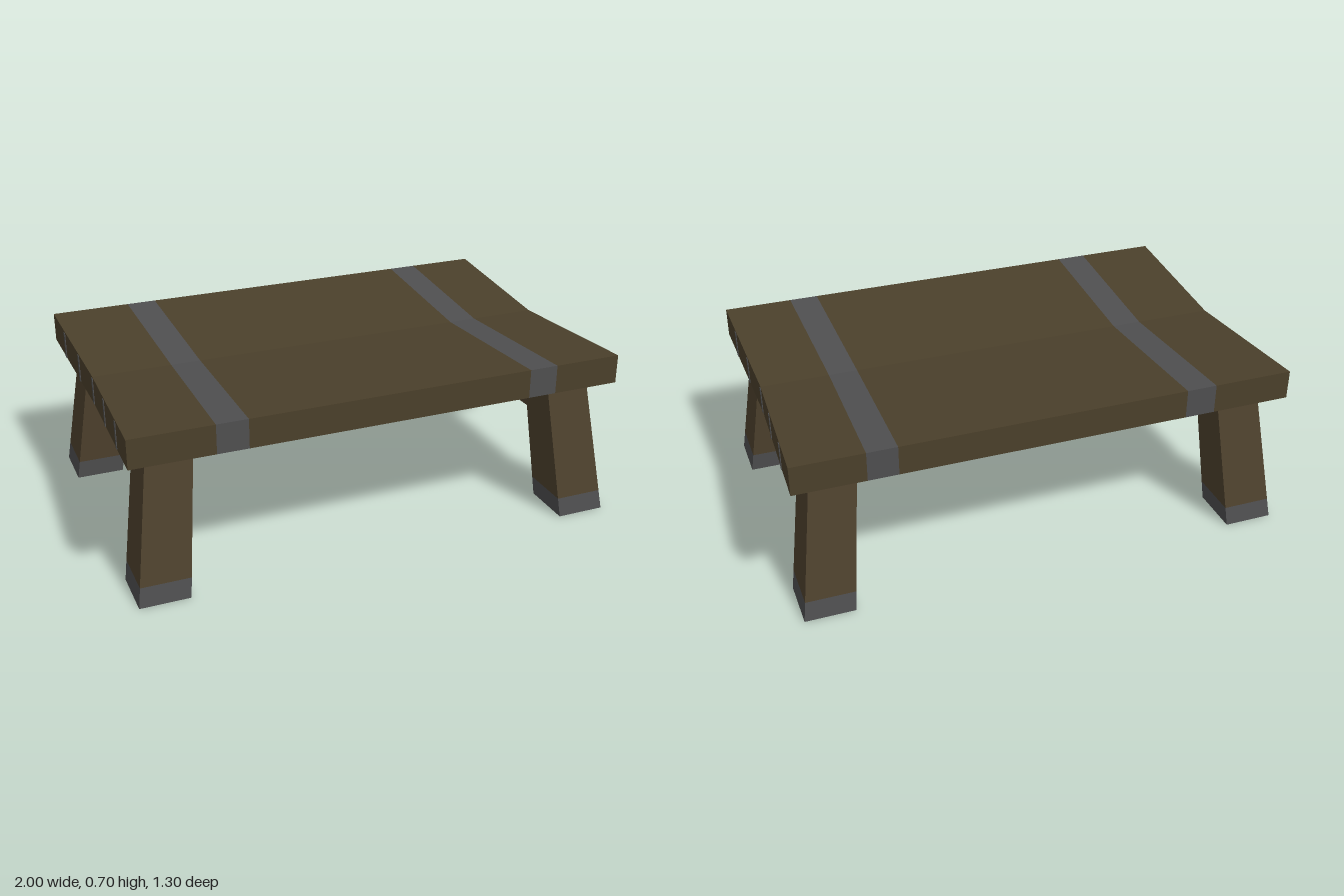
import * as THREE from 'three';

const materials = {
  plank: new THREE.MeshStandardMaterial({ name: 'plank brown', color: 0x4b402b }),
  frame: new THREE.MeshStandardMaterial({ name: 'frame brown', color: 0x4f422e }),
  iron: new THREE.MeshStandardMaterial({ name: 'iron grey', color: 0x4f4f50 }),
};

const HALF_DEPTH = 0.65;
// 1 along the middle of the top, 0 at its front and back edges
const middle = (z) => 1 - Math.min(1, Math.abs(z) / HALF_DEPTH);
// Sags the top towards z = 0 and pulls its ends in slightly
const sag = (p) => {
  const m = middle(p.z);
  p.set(p.x * (1 - 0.024 * m), p.y - 0.034 * m, p.z);
};

// Box between two corners, its vertices moved by a rule, with flat faces
function shapedBox(name, min, max, material, rule, depthSegments = 1) {
  const size = max.map((v, i) => v - min[i]);
  const box = new THREE.BoxGeometry(...size, 1, 1, depthSegments);
  box.translate(...min.map((v, i) => (v + max[i]) / 2));
  const pos = box.attributes.position;
  const p = new THREE.Vector3();
  for (let i = 0; i < pos.count; i++) {
    p.fromBufferAttribute(pos, i);
    rule(p);
    pos.setXYZ(i, p.x, p.y, p.z);
  }
  const geometry = box.toNonIndexed();
  geometry.computeVertexNormals();
  const mesh = new THREE.Mesh(geometry, material);
  mesh.name = name;
  return mesh;
}

// Splayed, tapered leg with an iron foot
function makeLeg(sx, sz) {
  const leg = new THREE.Group();
  leg.name = `${sz > 0 ? 'front' : 'back'}${sx > 0 ? 'Left' : 'Right'}Leg`;
  const top = 0.585, cuff = 0.08;
  const splay = (p) => {
    const t = p.y / top;
    p.x = sx * (0.897 - 0.07 * t) + p.x * (0.2 - 0.02 * t);
    p.z = sz * (0.543 - 0.073 * t) + p.z * (0.212 - 0.03 * t);
  };
  const { iron, frame } = materials;
  leg.add(shapedBox('post', [-0.5, cuff, -0.5], [0.5, top, 0.5], frame, splay));
  // Sole stays wooden
  leg.add(shapedBox('foot', [-0.5, 0, -0.5], [0.5, cuff, 0.5],
    [iron, iron, iron, frame, iron, iron], splay));
  return leg;
}

export function createModel() {
  const model = new THREE.Group();
  model.name = 'lowTable';
  const { plank, frame, iron } = materials;

  // Sagging top, cut into planks and iron bands
  const top = new THREE.Group();
  top.name = 'tableTop';
  const cuts = [-1, -0.675, -0.552, 0.602, 0.72, 1];
  for (let i = 0; i < cuts.length - 1; i++) {
    const isBand = i % 2 === 1;
    top.add(shapedBox(isBand ? 'band' : 'topPlank',
      [cuts[i], 0.58, -HALF_DEPTH], [cuts[i + 1], 0.698, HALF_DEPTH],
      isBand ? iron : plank, sag, 2));
  }
  // Narrow grey seams on both end faces
  for (const s of [-1, 1]) {
    for (const z of [-0.455, -0.22, 0, 0.235, 0.457]) {
      const x = s * 1.0005;
      top.add(shapedBox('endSeam', [x - 0.0025, 0.582, z - 0.009],
        [x + 0.0025, 0.692, z + 0.009], iron, sag, 2));
    }
  }
  model.add(top);

  // Legs, and a bowed rail between each end pair
  for (const sx of [-1, 1]) {
    for (const sz of [-1, 1]) model.add(makeLeg(sx, sz));
    const x = sx * 0.842;
    model.add(shapedBox('endRail', [x - 0.042, 0, -0.42], [x + 0.042, 1, 0.42], frame, (p) => {
      p.y = p.y > 0.5 ? 0.595 - 0.034 * middle(p.z) : 0.363 + 0.027 * Math.abs(p.z);
    }, 2));
  }

  // Centre beam joining the end rails
  model.add(shapedBox('centreBeam', [-0.805, 0.364, -0.068], [0.805, 0.56, 0.068], plank, () => {}));
  return model;
}
